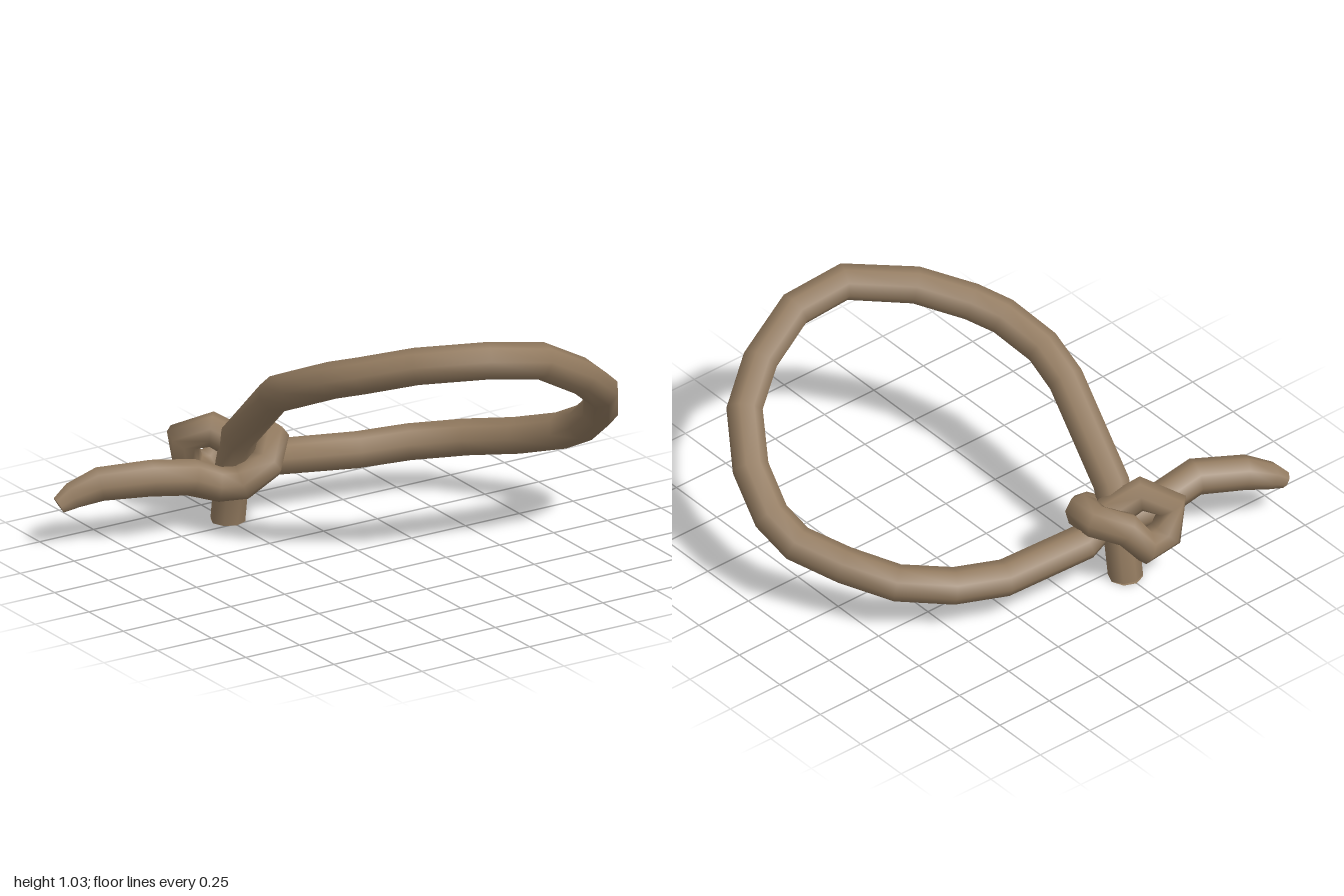
import * as THREE from 'three';

// Rope centre line with radius: [x, y, z, r], from the short hanging end to the tapered tail
const ROPE = [
  // hanging end and core of the knot
  [-0.25, 0, -0.555, 0.07], [-0.25, 0.24, -0.52, 0.07], [-0.26, 0.39, -0.455, 0.074],
  // big loop
  [-0.305, 0.68, -0.12, 0.074], [-0.31, 0.75, 0.03, 0.074], [-0.25, 0.83, 0.2, 0.074],
  [-0.18, 0.87, 0.31, 0.074], [-0.03, 0.93, 0.47, 0.074], [0.2, 0.96, 0.635, 0.074],
  [0.43, 0.92, 0.66, 0.074], [0.64, 0.8, 0.615, 0.074], [0.79, 0.68, 0.53, 0.074],
  [0.89, 0.53, 0.37, 0.074], [0.925, 0.41, 0.2, 0.074], [0.9, 0.34, 0.07, 0.074],
  [0.8, 0.285, -0.1, 0.074], [0.68, 0.245, -0.28, 0.074], [0.5, 0.22, -0.41, 0.074],
  [0.3, 0.205, -0.48, 0.074], [-0.06, 0.235, -0.525, 0.074],
  // inner wrap of the knot
  [-0.2, 0.31, -0.52, 0.07], [-0.31, 0.385, -0.58, 0.07], [-0.39, 0.34, -0.665, 0.07],
  [-0.36, 0.22, -0.67, 0.07], [-0.26, 0.2, -0.665, 0.07],
  // outer wrap of the knot
  [-0.18, 0.31, -0.645, 0.07], [-0.1, 0.335, -0.56, 0.07], [-0.1, 0.335, -0.47, 0.07],
  [-0.17, 0.27, -0.4, 0.07], [-0.27, 0.205, -0.42, 0.07], [-0.34, 0.195, -0.47, 0.07],
  // tail
  [-0.45, 0.235, -0.51, 0.074], [-0.64, 0.27, -0.51, 0.074],
  [-0.82, 0.255, -0.595, 0.07], [-0.92, 0.215, -0.635, 0.055], [-0.975, 0.18, -0.65, 0.036],
];
const SIDES = 8;

// Curve that stops exactly at each given point, with averaged tangents
class PointPath extends THREE.Curve {
  constructor(points) {
    super();
    this.points = points;
  }
  index(u) {
    return Math.round(u * (this.points.length - 1));
  }
  getPoint(u, target = new THREE.Vector3()) {
    return target.copy(this.points[this.index(u)]);
  }
  getPointAt(u, target) {
    return this.getPoint(u, target);
  }
  getTangentAt(u, target = new THREE.Vector3()) {
    const p = this.points, i = this.index(u), last = p.length - 1;
    const a = p[Math.max(i - 1, 0)], b = p[i], c = p[Math.min(i + 1, last)];
    const before = b.clone().sub(a).normalize();
    return target.copy(c).sub(b).normalize().add(before).normalize();
  }
}

// Flat disc closing one rope end, facing along the given direction
function endCap(name, center, direction, radius, material) {
  const cap = new THREE.Mesh(new THREE.CircleGeometry(radius, SIDES), material);
  cap.name = name;
  cap.position.copy(center);
  cap.quaternion.setFromUnitVectors(new THREE.Vector3(0, 0, 1), direction);
  return cap;
}

export function createModel() {
  const group = new THREE.Group();
  group.name = 'knottedRope';
  const material = new THREE.MeshStandardMaterial({ color: 0x927a5f, side: THREE.DoubleSide });
  material.name = 'brown rope';

  const path = new PointPath(ROPE.map(([x, y, z]) => new THREE.Vector3(x, y, z)));
  const last = ROPE.length - 1;

  // rope: unit-radius tube whose rings are scaled to each point's radius
  const geometry = new THREE.TubeGeometry(path, last, 1, SIDES, false);
  const pos = geometry.attributes.position;
  const v = new THREE.Vector3();
  for (let i = 0; i < pos.count; i++) {
    const ring = Math.floor(i / (SIDES + 1));
    const c = path.points[ring];
    v.fromBufferAttribute(pos, i).sub(c).multiplyScalar(ROPE[ring][3]).add(c);
    pos.setXYZ(i, v.x, Math.max(v.y, 0), v.z);
  }
  const rope = new THREE.Mesh(geometry, material);
  rope.name = 'rope';
  group.add(rope);

  // closed ends
  const down = new THREE.Vector3(0, -1, 0);
  group.add(endCap('hangingEnd', path.points[0], down, ROPE[0][3], material));
  group.add(endCap('tailEnd', path.points[last], path.getTangentAt(1), ROPE[last][3], material));
  return group;
}
